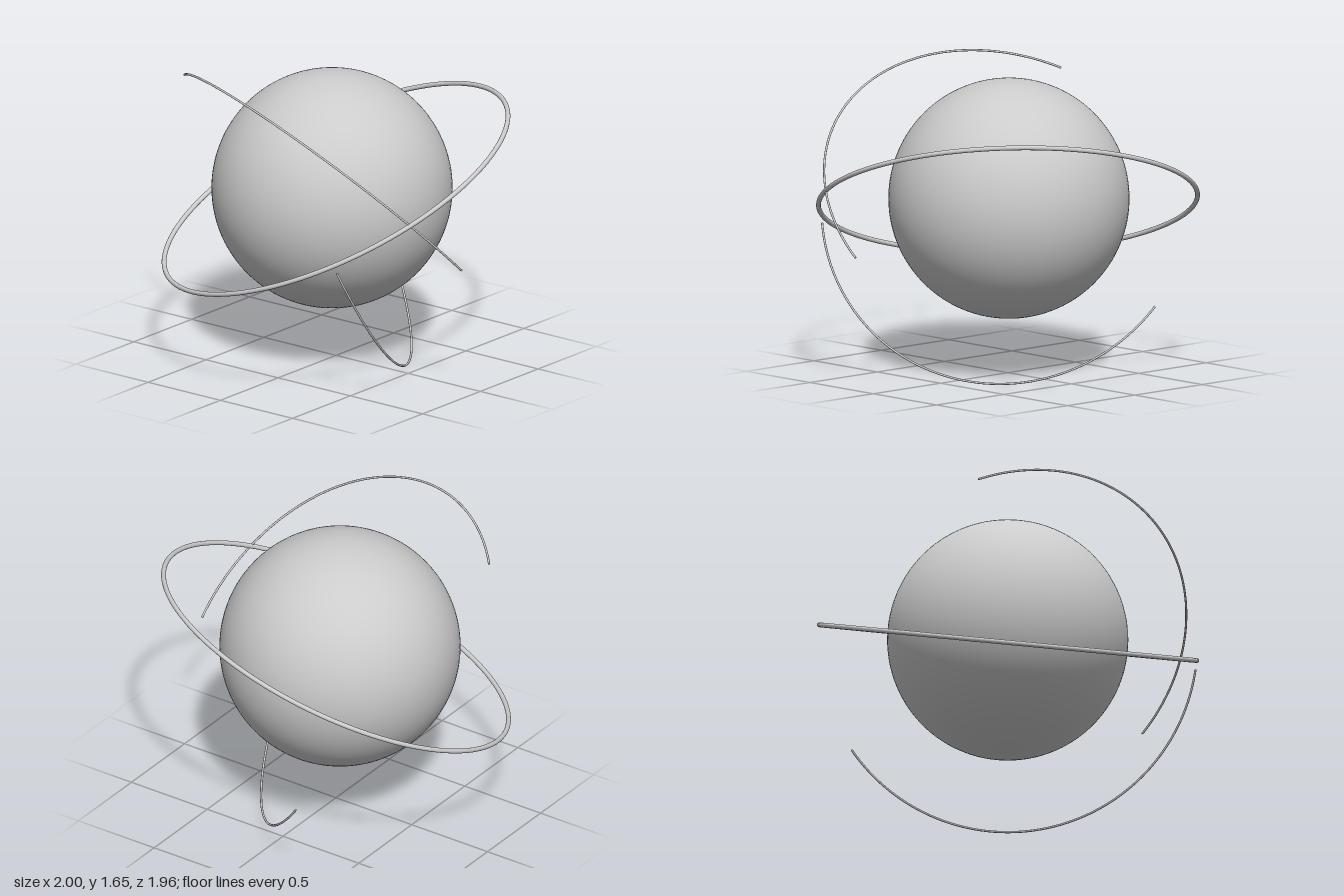
import * as THREE from 'three';

const material = new THREE.MeshStandardMaterial({ color: 0xcccccc });
const CENTRE = new THREE.Vector3(0, 0.953, 0);
const ORBIT = 1.025; // shared radius of the ring and both arcs

// Arc of a circle about the centre, running from direction a to direction b
function orbitArc(name, a, b, tube) {
  const x = a.clone().normalize();
  const z = a.clone().cross(b).normalize();
  const y = z.clone().cross(x);
  const sweep = a.angleTo(b);

  const group = new THREE.Group();
  group.name = name;
  const rod = new THREE.Mesh(new THREE.TorusGeometry(ORBIT, tube, 10, 96, sweep), material);
  rod.name = name + 'Rod';
  group.add(rod);

  // Flat discs closing both ends
  for (const [angle, turn] of [[0, Math.PI / 2], [sweep, -Math.PI / 2]]) {
    const geometry = new THREE.CircleGeometry(tube, 10)
      .rotateX(turn)
      .translate(ORBIT, 0, 0)
      .rotateZ(angle);
    const cap = new THREE.Mesh(geometry, material);
    cap.name = name + 'Cap';
    group.add(cap);
  }

  group.quaternion.setFromRotationMatrix(new THREE.Matrix4().makeBasis(x, y, z));
  group.position.copy(CENTRE);
  return group;
}

export function createModel() {
  const model = new THREE.Group();
  model.name = 'ringedPlanet';

  // Central ball, slightly off the ring's centre
  const ball = new THREE.Mesh(new THREE.SphereGeometry(0.652, 96, 64), material);
  ball.name = 'planet';
  ball.position.set(-0.018, 0.959, 0.012);
  model.add(ball);

  // Full tilted ring
  const ring = new THREE.Mesh(new THREE.TorusGeometry(ORBIT, 0.013, 16, 160), material);
  ring.name = 'ring';
  ring.position.copy(CENTRE);
  ring.quaternion.setFromUnitVectors(
    new THREE.Vector3(0, 0, 1),
    new THREE.Vector3(-0.274, 0.903, 0.332).normalize()
  );
  model.add(ring);

  // Two thin partial orbits, one over the front and one underneath
  model.add(orbitArc('upperArc',
    new THREE.Vector3(-0.75, 0.594, 0.377), new THREE.Vector3(0.99, -0.223, 0.15), 0.006));
  model.add(orbitArc('lowerArc',
    new THREE.Vector3(0.64, -0.15, 0.79), new THREE.Vector3(-0.315, -0.52, -0.83), 0.006));

  return model;
}
